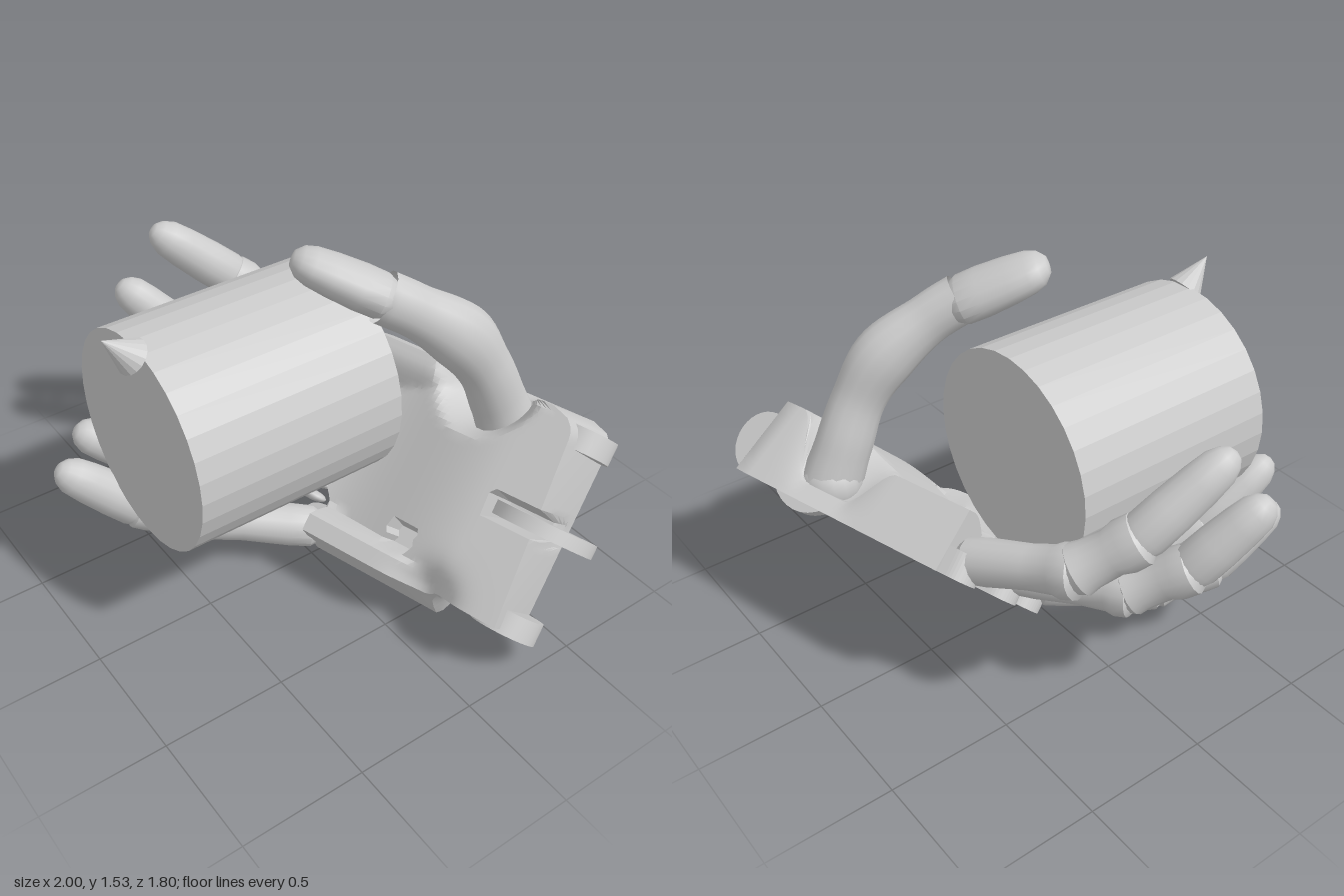
import * as THREE from 'three';
import { toCreasedNormals } from 'three/addons/utils/BufferGeometryUtils.js';

const grey = new THREE.MeshStandardMaterial({ color: 0xcccccc, side: THREE.DoubleSide });
const flat = new THREE.MeshStandardMaterial({ color: 0xcccccc, flatShading: true });
const { smoothstep, lerp, clamp } = THREE.MathUtils;

function add(parent, name, geometry, material = grey) {
  const mesh = new THREE.Mesh(geometry, material);
  mesh.name = name;
  parent.add(mesh);
  return mesh;
}

// Turned limb from a to b, flattened along the pad direction; profile lists [radius, fraction of length]
function limb(parent, name, a, b, profile, squash = 1, pad = [0.19, 0.69, 0.69]) {
  const from = new THREE.Vector3(...a), dir = new THREE.Vector3(...b).sub(from);
  const len = dir.length();
  const pts = profile.map(([r, t]) => new THREE.Vector2(r, t * len));
  const mesh = add(parent, name, toCreasedNormals(new THREE.LatheGeometry(pts, 16), 0.6));
  dir.normalize();
  const side = new THREE.Vector3().crossVectors(dir, new THREE.Vector3(...pad)).normalize();
  const depth = new THREE.Vector3().crossVectors(side, dir);
  mesh.position.copy(from);
  mesh.quaternion.setFromRotationMatrix(new THREE.Matrix4().makeBasis(side, dir, depth));
  mesh.scale.z = squash;
  return mesh;
}

const PROXIMAL = [[0, -0.1], [0.06, -0.08], [0.085, 0], [0.088, 0.2], [0.082, 0.6], [0.088, 0.85], [0.1, 0.93], [0.098, 1.04], [0.07, 1.1], [0, 1.12]];
const MIDDLE = [[0, -0.1], [0.08, -0.06], [0.098, 0.08], [0.088, 0.25], [0.083, 0.6], [0.096, 0.78], [0.094, 1.02], [0.07, 1.12], [0, 1.16]];
const DISTAL = [[0, -0.05], [0.08, -0.05], [0.092, 0.08], [0.09, 0.4], [0.083, 0.75], [0.074, 0.98], [0.055, 1.1], [0.03, 1.17], [0, 1.19]];
const THUMB_TIP = [[0, -0.15], [0.09, -0.12], [0.11, 0], [0.112, 0.3], [0.104, 0.7], [0.093, 0.98], [0.075, 1.14], [0.04, 1.24], [0, 1.26]];

// Palm thickness over its own plane: u to the wrist, v to the thumb side
function palmTop(u, v) {
  let h = lerp(0.12, 0.28, smoothstep(u, 0, 0.7));
  h = Math.max(h, lerp(0.27, 0.1, smoothstep(v, 0.16, 0.23)), lerp(0.1, 0.2, smoothstep(v, 0.7, 0.9)));
  // hollow for the thumb base
  h = lerp(0.03, h, smoothstep(Math.hypot(u - 0.49, v - 0.95), 0.1, 0.26));
  // rim falling away where the outer block ends
  h -= 0.11 * Math.exp(-((u - 0.63) ** 2) / 0.012 - ((v - 0.08) ** 2) / 0.01);
  // tensioner recess and wrist slot
  if (u > 0.37 && u < 0.49 && v > 0.19 && v < 0.29) h = 0.12;
  if (u > 0.72 && Math.abs(v - 0.51) < 0.05) h = 0.08;
  return h;
}

function palmGeometry() {
  const geo = new THREE.BoxGeometry(1, 1, 1, 44, 36, 6);
  const p = geo.attributes.position;
  for (let i = 0; i < p.count; i++) {
    const s = p.getX(i) + 0.5, t = p.getY(i) + 0.5, k = p.getZ(i) + 0.5;
    const corner = Math.max(0, t - 0.89) / 0.11;
    const uMax = 0.95 - 0.06 * t * k - 0.1 * (1 - Math.sqrt(Math.max(0, 1 - corner * corner)));
    const uMin = lerp(0.06 * k, -0.11, smoothstep(t, 0.1, 0.4));
    const u = lerp(uMin, uMax, s);
    const wrist = smoothstep(u, 0.61, 0.66);
    const vMin = lerp(0.02 + 0.07 * k, 0.11, wrist);
    const v = lerp(vMin, 0.97 - 0.03 * k, t);
    p.setXYZ(i, u, v, lerp(-0.04, palmTop(u, v), k));
  }
  return toCreasedNormals(geo, 0.5);
}

export function createModel() {
  const model = new THREE.Group();
  model.name = 'mechanicalHand';

  // Held cylinder and its small cone marker
  const held = add(model, 'heldCylinder', new THREE.CylinderGeometry(0.433, 0.433, 0.865, 32), flat);
  held.rotation.x = Math.PI / 2;
  held.position.set(-0.112, 0.837, 0.25);
  const cone = add(model, 'coneMarker', new THREE.ConeGeometry(0.07, 0.15, 16), flat);
  cone.rotation.x = Math.PI / 4;
  cone.position.set(-0.065, 1.295, 0.75);

  // Palm, tilted so that it faces up and forwards
  const palm = new THREE.Group();
  palm.name = 'palm';
  const U = new THREE.Vector3(0.9626, 0, -0.271);
  const V = new THREE.Vector3(-0.187, 0.723, -0.665).normalize();
  const W = new THREE.Vector3().crossVectors(U, V).normalize();
  palm.quaternion.setFromRotationMatrix(new THREE.Matrix4().makeBasis(U, V, W));
  model.add(palm);
  add(palm, 'palmBody', palmGeometry());

  // Wrist hinge lugs: [v, u, w, radius, thickness]
  for (const [v, u, w, r, d] of [[0.14, 0.92, 0.09, 0.13, 0.09], [0.51, 0.9, 0.1, 0.205, 0.055], [0.87, 0.88, 0.09, 0.13, 0.09]]) {
    const lug = add(palm, 'wristLug', toCreasedNormals(new THREE.CylinderGeometry(r, r, d, 32), 0.5));
    lug.position.set(u, v, w);
  }

  // Knuckle tongues on the back of the hand, with a rounded end
  for (const [v, end] of [[0.125, -0.09], [0.36, -0.23], [0.62, -0.26], [0.88, -0.22]]) {
    const shape = new THREE.Shape();
    shape.moveTo(0.1, v - 0.075);
    shape.lineTo(0.1, v + 0.075);
    shape.lineTo(end + 0.075, v + 0.075);
    shape.absarc(end + 0.075, v, 0.075, Math.PI / 2, Math.PI * 1.5, false);
    const tongue = add(palm, 'knuckleTongue', new THREE.ExtrudeGeometry(shape, { depth: 0.1, bevelEnabled: false, curveSegments: 10 }));
    tongue.position.z = -0.04;
  }

  // Hinge brackets standing between the fingers
  for (const v of [0.22, 0.28, 0.46, 0.52, 0.72, 0.77]) {
    const bracket = add(palm, 'knuckleBracket', new THREE.CapsuleGeometry(0.055, 0.1, 4, 10));
    bracket.rotation.z = Math.PI / 2;
    bracket.scale.x = 0.4;
    bracket.position.set(-0.1, v, 0.1);
  }

  // Fingers: knuckle, two joints and the tip
  const fingers = {
    indexFinger: [[-0.3, 0.65, -0.5], [-0.66, 0.755, -0.33], [-0.79, 0.895, -0.16], [-0.88, 1.13, 0.1]],
    middleFinger: [[-0.31, 0.5, -0.3], [-0.66, 0.54, -0.08], [-0.82, 0.67, 0.07], [-0.93, 0.9, 0.26]],
    ringFinger: [[-0.24, 0.3, -0.12], [-0.48, 0.28, 0.22], [-0.58, 0.34, 0.43], [-0.635, 0.52, 0.66]],
    littleFinger: [[0.0, 0.14, 0.0], [-0.26, 0.2, 0.38], [-0.36, 0.31, 0.6], [-0.43, 0.535, 0.835]],
  };
  for (const [name, j] of Object.entries(fingers)) {
    const finger = new THREE.Group();
    finger.name = name;
    model.add(finger);
    limb(finger, 'proximalSegment', j[0], j[1], PROXIMAL);
    limb(finger, 'middleSegment', j[1], j[2], MIDDLE);
    limb(finger, 'fingertip', j[2], j[3], DISTAL, 0.92);
  }

  // Thumb: a bent tube of varying thickness and a separate tip
  const thumb = new THREE.Group();
  thumb.name = 'thumb';
  model.add(thumb);
  const curve = new THREE.CatmullRomCurve3([[0.41, 0.64, -0.65], [0.4, 0.8, -0.585], [0.4, 0.97, -0.505], [0.37, 1.13, -0.4], [0.3, 1.27, -0.23], [0.25, 1.335, -0.13]]
    .map(q => new THREE.Vector3(...q)));
  const radii = [0.125, 0.115, 0.108, 0.125, 0.1, 0.1];
  const rows = 30, sides = 14;
  const tube = new THREE.TubeGeometry(curve, rows, 1, sides);
  const p = tube.attributes.position, c = new THREE.Vector3(), q = new THREE.Vector3();
  for (let i = 0; i < p.count; i++) {
    const t = Math.floor(i / (sides + 1)) / rows;
    const f = curve.getUtoTmapping(t) * (radii.length - 1);
    const k = clamp(Math.floor(f), 0, radii.length - 2);
    const r = lerp(radii[k], radii[k + 1], smoothstep(f - k, 0, 1));
    curve.getPointAt(t, c);
    q.fromBufferAttribute(p, i).sub(c).multiplyScalar(r);
    p.setXYZ(i, c.x + q.x * 0.85, c.y + q.y, c.z + q.z);
  }
  tube.computeVertexNormals();
  add(thumb, 'thumbShaft', toCreasedNormals(tube, 0.7));
  const ball = add(thumb, 'thumbBase', new THREE.SphereGeometry(0.122, 16, 12));
  ball.position.set(0.41, 0.65, -0.65);
  limb(thumb, 'thumbTip', [0.24, 1.335, -0.13], [0.085, 1.45, 0.065], THUMB_TIP, 0.75, [0, 1, -0.4]);

  return model;
}
